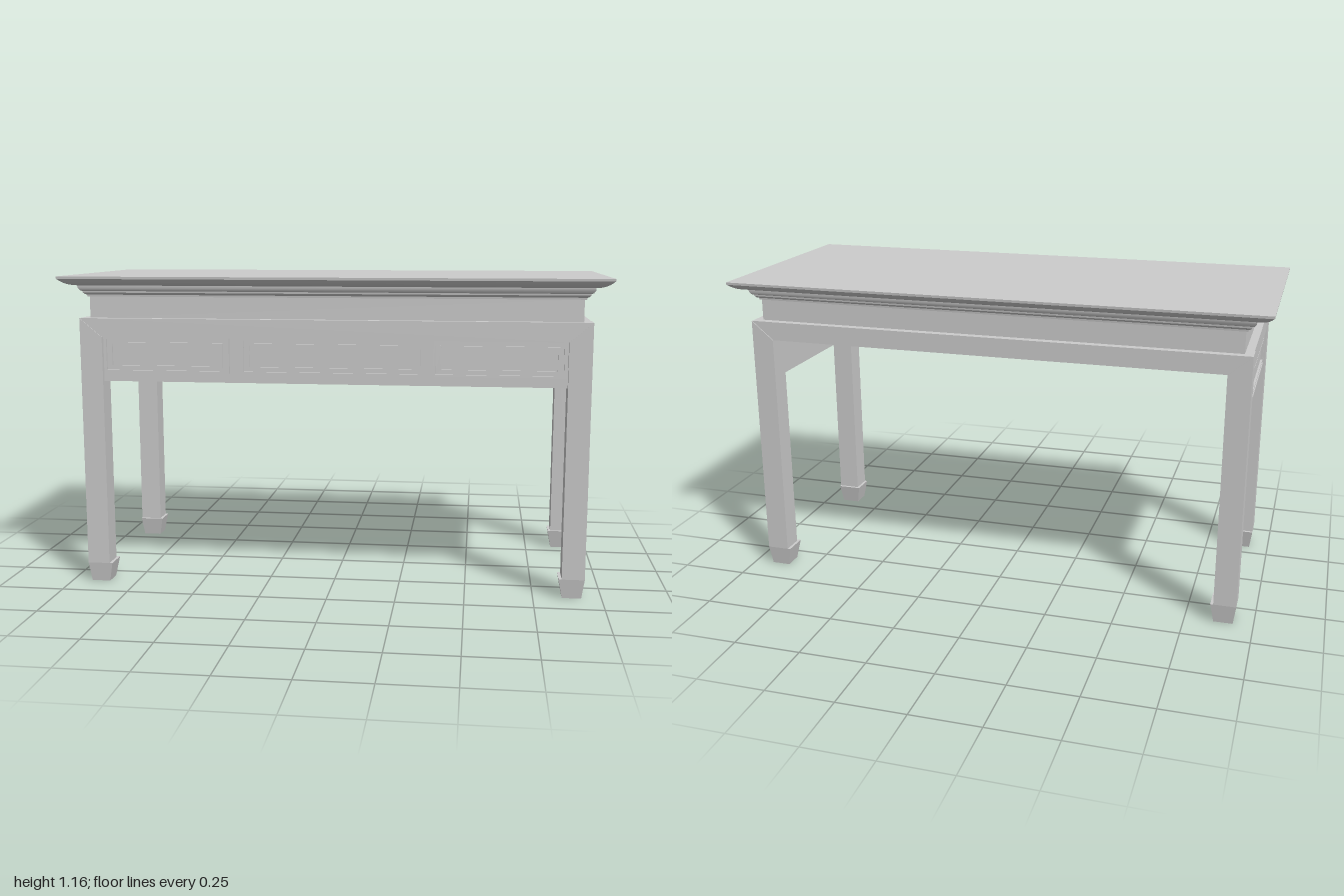
import * as THREE from 'three';
import { toCreasedNormals } from 'three/addons/utils/BufferGeometryUtils.js';

const mat = new THREE.MeshStandardMaterial({ color: 0xcccccc });

// Outer half sizes of the frame and the square section of its members
const FX = 0.936, FZ = 0.388, W = 0.083;
const RAIL_TOP = 1.01, RAIL_BOTTOM = 0.94, APRON_BOTTOM = 0.775;
const SEAM = 0.003; // rails sit this far behind the leg faces
const RECESS = 0.018; // apron boards sit this far behind the leg faces

function add(parent, name, geometry, x = 0, y = 0, z = 0) {
  const mesh = new THREE.Mesh(geometry, mat);
  mesh.name = name;
  mesh.position.set(x, y, z);
  parent.add(mesh);
  return mesh;
}

const box = (w, h, d) => new THREE.BoxGeometry(w, h, d);

function extrude(points, depth, hole) {
  const toVec = ([x, y]) => new THREE.Vector2(x, y);
  const shape = new THREE.Shape(points.map(toVec));
  if (hole) shape.holes.push(new THREE.Path(hole.map(toVec)));
  return new THREE.ExtrudeGeometry(shape, { depth, bevelEnabled: false });
}

const rect = (hx, hy) => [[-hx, -hy], [hx, -hy], [hx, hy], [-hx, hy]];

// Stack of rectangular rings [halfX, halfZ, y], from the top down, capped at both ends
function stackRings(rings) {
  const pos = [];
  const corners = ([x, z, y]) => [[x, y, z], [x, y, -z], [-x, y, -z], [-x, y, z]];
  const quad = (a, b, c, d) => pos.push(...a, ...b, ...c, ...a, ...c, ...d);
  const all = rings.map(corners);
  for (let r = 0; r < all.length - 1; r++) {
    for (let i = 0; i < 4; i++) {
      const j = (i + 1) % 4;
      quad(all[r + 1][i], all[r + 1][j], all[r][j], all[r][i]);
    }
  }
  quad(...all[0]);
  quad(...all[all.length - 1].reverse());
  const g = new THREE.BufferGeometry();
  g.setAttribute('position', new THREE.Float32BufferAttribute(pos, 3));
  return toCreasedNormals(g, 0.5);
}

// Table top: thin lip, shallow rounded underside, then small stepped mouldings
function topGeometry() {
  const profile = [[0, 1.165], [0.001, 1.156]];
  const a0 = 0.6, a1 = 1.5;
  for (let i = 0; i <= 8; i++) {
    const a = a0 + (i / 8) * (a1 - a0);
    const u = (Math.cos(a0) - Math.cos(a)) / (Math.cos(a0) - Math.cos(a1));
    const v = (Math.sin(a) - Math.sin(a0)) / (Math.sin(a1) - Math.sin(a0));
    profile.push([0.003 + 0.052 * u, 1.155 - 0.024 * v]);
  }
  profile.push([0.056, 1.121], [0.062, 1.112], [0.068, 1.11],
    [0.069, 1.104], [0.075, 1.098], [0.08, 1.096], [0.081, 1.089]);
  return stackRings(profile.map(([d, y]) => [1 - d * 1.1, 0.443 - d, y]));
}

// Foot: flush outside, flared step inside, tapering to the floor
function footGeometry(sx, sz) {
  const g = box(1, 1, 1), p = g.attributes.position;
  for (let i = 0; i < p.count; i++) {
    const top = p.getY(i) > 0;
    const place = (v, s, outer) => {
      const outside = v * s > 0;
      if (outside) return s * (outer - (top ? 0 : 0.01));
      return s * (outer - W - (top ? 0.011 : -0.003));
    };
    p.setXYZ(i, place(p.getX(i), sx, FX), top ? 0.073 : 0, place(p.getZ(i), sz, FZ));
  }
  const flat = g.toNonIndexed();
  flat.computeVertexNormals();
  return flat;
}

// Drawer front: raised beads around a border and a centre panel, facing +z
function drawerFront(w, h) {
  const group = new THREE.Group();
  group.name = 'drawerFront';
  const hx = w / 2, hy = h / 2, bead = 0.008, inset = 0.03;
  const ix = hx - inset, iy = hy - inset + 0.004;
  add(group, 'drawerBead', extrude(rect(hx, hy), 0.013, rect(hx - bead, hy - bead)));
  add(group, 'drawerBorder', extrude(rect(hx - bead, hy - bead), 0.004, rect(ix, iy)));
  add(group, 'drawerInnerBead', extrude(rect(ix + 0.006, iy + 0.006), 0.012, rect(ix, iy)));
  add(group, 'drawerPanel', box(2 * ix, 2 * iy, 0.004), 0, 0, 0.002);
  return group;
}

// Apron board carrying drawer fronts [centre, width], facing +z with the leg faces at z = 0
function apron(name, width, drawers) {
  const group = new THREE.Group();
  group.name = name;
  const h = RAIL_BOTTOM - APRON_BOTTOM, depth = 0.055 - RECESS;
  add(group, 'apronBoard', box(width, h, depth), 0, APRON_BOTTOM + h / 2, -RECESS - depth / 2);
  for (const [x, w] of drawers) {
    const front = drawerFront(w, 0.132);
    front.position.set(x, 0.876, -RECESS);
    group.add(front);
  }
  return group;
}

export function createModel() {
  const model = new THREE.Group();
  model.name = 'table';

  add(model, 'tableTop', topGeometry());
  add(model, 'neck', box(2 * 0.904, 0.08, 2 * 0.356), 0, RAIL_TOP + 0.04, 0);

  // Legs with mitred heads, and their feet
  for (const sx of [1, -1]) {
    for (const sz of [1, -1]) {
      const outline = [[FX, 0.073], [FX, RAIL_TOP], [FX - W, RAIL_BOTTOM], [FX - W, 0.073]];
      const leg = extrude(outline.map(([x, y]) => [x * sx, y]), W);
      add(model, 'leg', leg, 0, 0, sz > 0 ? FZ - W : -FZ);
      add(model, 'foot', footGeometry(sx, sz));
    }
  }

  // Mitred front and back rails, plain side rails
  const railOutline = [[-FX, RAIL_TOP], [-FX + W, RAIL_BOTTOM], [FX - W, RAIL_BOTTOM], [FX, RAIL_TOP]];
  add(model, 'frontRail', extrude(railOutline, W - SEAM), 0, 0, FZ - W);
  add(model, 'backRail', extrude(railOutline, W - SEAM), 0, 0, SEAM - FZ);
  for (const s of [1, -1]) {
    add(model, 'sideRail', box(W - SEAM, RAIL_TOP - RAIL_BOTTOM, 2 * (FZ - W)),
      s * (FX - (W + SEAM) / 2), (RAIL_TOP + RAIL_BOTTOM) / 2, 0);
  }

  // Aprons with drawers: three in front, one on each side
  const front = apron('frontApron', 2 * (FX - W), [[-0.61, 0.472], [0, 0.655], [0.61, 0.472]]);
  front.position.z = FZ;
  model.add(front);
  for (const s of [1, -1]) {
    const side = apron('sideApron', 2 * (FZ - W), [[0, 0.535]]);
    side.rotation.y = s * Math.PI / 2;
    side.position.x = s * FX;
    model.add(side);
  }

  return model;
}
